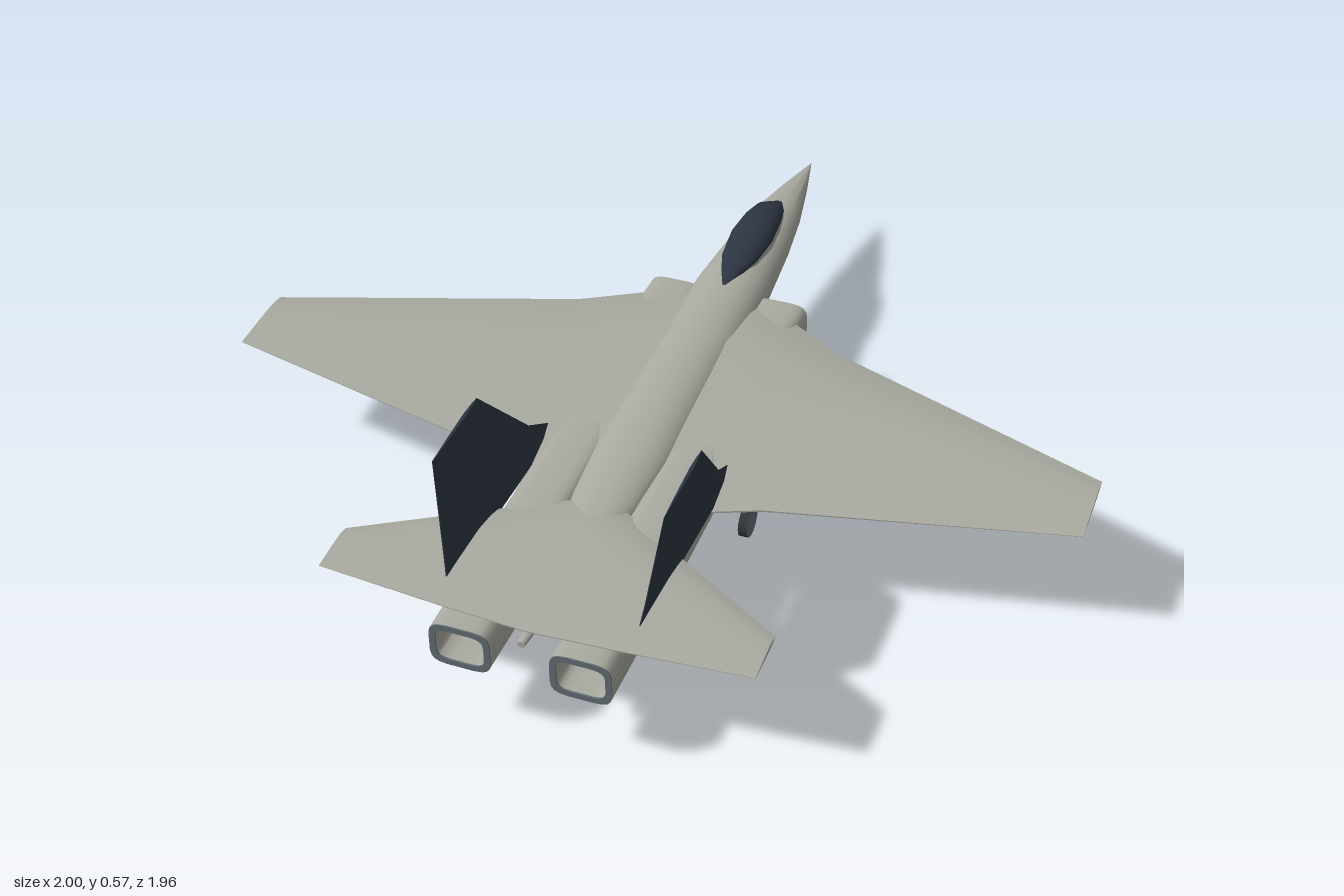
import * as THREE from 'three';
import { toCreasedNormals } from 'three/addons/utils/BufferGeometryUtils.js';

const mat = (name, color, extra = {}) => {
  const m = new THREE.MeshStandardMaterial({ color, ...extra });
  m.name = name;
  return m;
};

// Skin a list of equal-length closed rings; winding is fixed by signed volume.
function loft(rings, { caps = true, crease = 0.6 } = {}) {
  const tris = [];
  const n = rings[0].length;
  for (let i = 0; i < rings.length - 1; i++) {
    for (let j = 0; j < n; j++) {
      const k = (j + 1) % n;
      const [a, b, c, d] = [rings[i][j], rings[i][k], rings[i + 1][k], rings[i + 1][j]];
      tris.push([a, b, c], [a, c, d]);
    }
  }
  if (caps) {
    const fan = (ring, flip) => {
      const mid = ring.reduce((s, p) => s.add(p), new THREE.Vector3()).divideScalar(n);
      ring.forEach((p, j) => {
        const q = ring[(j + 1) % n];
        tris.push(flip ? [mid, q, p] : [mid, p, q]);
      });
    };
    fan(rings[0], true);
    fan(rings[rings.length - 1], false);
  }
  const cross = new THREE.Vector3();
  const volume = tris.reduce((s, [a, b, c]) => s + a.dot(cross.crossVectors(b, c)), 0);
  const pts = tris.flatMap(([a, b, c]) => (volume < 0 ? [a, c, b] : [a, b, c]));
  return toCreasedNormals(new THREE.BufferGeometry().setFromPoints(pts), crease);
}

// Superellipse ring in the xy plane; power 2 is an ellipse, higher is boxier.
function ring(z, cx, cy, rx, ry, power = 2, n = 20) {
  return Array.from({ length: n }, (_, i) => {
    const t = ((i + 0.5) / n) * Math.PI * 2;
    const f = (v) => Math.sign(v) * Math.abs(v) ** (2 / power);
    return new THREE.Vector3(cx + rx * f(Math.cos(t)), cy + ry * f(Math.sin(t)), z);
  });
}

// Airfoil outline as [chord fraction, half-thickness fraction]
const foil = [[0, 0], [0.1, 0.6], [0.27, 1], [0.6, 0.7], [1, 0.08], [1, -0.08], [0.6, -0.7], [0.27, -1], [0.1, -0.6]];

export function createModel() {
  const hull = mat('hull grey', 0xa9aaa0);
  const inner = mat('duct grey', 0xa9aaa0, { side: THREE.DoubleSide });
  const dark = mat('dark blue', 0x2d3542, { side: THREE.DoubleSide });
  const metal = mat('gunmetal', 0x626d74);
  const rubber = mat('tyre', 0x30363b);

  const model = new THREE.Group();
  const add = (name, geometry, material) => {
    const mesh = new THREE.Mesh(geometry, material);
    mesh.name = name;
    model.add(mesh);
    return mesh;
  };

  // Fuselage stations: z, half width, bottom, top
  const body = [
    [-0.98, 0.001, 0.259, 0.261], [-0.85, 0.03, 0.245, 0.287], [-0.7, 0.058, 0.229, 0.315],
    [-0.55, 0.076, 0.221, 0.33], [-0.33, 0.092, 0.214, 0.344], [-0.1, 0.094, 0.21, 0.343],
    [0.15, 0.093, 0.212, 0.34], [0.35, 0.092, 0.22, 0.332], [0.5, 0.08, 0.235, 0.323],
    [0.65, 0.055, 0.25, 0.312], [0.85, 0.02, 0.272, 0.3], [0.97, 0.008, 0.28, 0.296],
  ];
  add('fuselage', loft(body.map(([z, w, b, t]) => ring(z, 0, (b + t) / 2, w, (t - b) / 2, 2.2, 24)), { crease: 0.8 }), hull);

  // Canopy stations: z, half width, sill base, sill top, glass top
  const cockpit = [
    [-0.7, 0.008, 0.305, 0.313, 0.317], [-0.63, 0.035, 0.3, 0.338, 0.357], [-0.57, 0.046, 0.3, 0.344, 0.371],
    [-0.48, 0.053, 0.3, 0.346, 0.376], [-0.39, 0.044, 0.3, 0.344, 0.366], [-0.27, 0.006, 0.3, 0.336, 0.344],
  ];
  add('cockpitSill', loft(cockpit.map(([z, w, b, s]) =>
    [[w, b], [w, s], [-w, s], [-w, b]].map(([x, y]) => new THREE.Vector3(x, y, z)))), hull);
  add('canopyGlass', loft(cockpit.map(([z, w, , s, t]) =>
    Array.from({ length: 9 }, (_, i) => {
      const a = (i / 8) * Math.PI;
      return new THREE.Vector3(Math.cos(a) * (w + 0.001), s + Math.sin(a) * (t - s), z);
    }))), dark);

  // Lifting surface stations: x, leading z, trailing z, y, half thickness
  const surface = (stations, side) => loft(stations.map(([x, z0, z1, y, h]) =>
    foil.map(([c, t]) => new THREE.Vector3(side * x, y + t * h, z0 + c * (z1 - z0)))));
  const wing = [[0.03, -0.34, 0.53, 0.292, 0.031], [0.2, -0.24, 0.475, 0.292, 0.028],
    [0.33, -0.16, 0.425, 0.295, 0.023], [1, 0.1, 0.29, 0.312, 0.006]];
  const tail = [[0, 0.5, 0.945, 0.302, 0.018], [0.2, 0.62, 0.935, 0.304, 0.014], [0.48, 0.79, 0.915, 0.306, 0.006]];

  // Fin stations: y, leading z, trailing z, x, half thickness
  const fin = [[0.295, 0.3, 0.862, 0.212, 0.017], [0.36, 0.4, 0.847, 0.222, 0.014], [0.572, 0.59, 0.81, 0.25, 0.004]];

  // Engine duct stations: z, bottom, top
  const duct = [[-0.31, 0.182, 0.301], [-0.2, 0.177, 0.306], [0.65, 0.175, 0.309], [0.98, 0.19, 0.298]];

  for (const side of [1, -1]) {
    const label = side > 0 ? 'left' : 'right';
    add(label + 'Wing', surface(wing, side), hull);
    add(label + 'Tailplane', surface(tail, side), hull);
    add(label + 'Fin', loft(fin.map(([y, z0, z1, x, h]) =>
      foil.map(([c, t]) => new THREE.Vector3(side * (x + t * h), y, z0 + c * (z1 - z0))))), dark);

    // Hollow engine duct with a dark fan face and a metal nozzle rim
    const section = ([z, b, t], inset = 0) =>
      ring(z, side * 0.133, (b + t) / 2, 0.068 - inset, (t - b) / 2 - inset, 4.5, 20);
    const front = duct[0], rear = duct[3];
    add(label + 'EngineDuct', loft([section(front, 0.01), ...duct.map((s) => section(s)),
      section(rear, 0.014), section(front, 0.01)], { caps: false }), inner);
    add(label + 'IntakeFace', loft([section([-0.298, 0.182, 0.301], 0.009), section([-0.292, 0.182, 0.301], 0.009)]), dark);
    const rimStart = [0.979, ...rear.slice(1)], rimEnd = [0.983, ...rear.slice(1)];
    add(label + 'NozzleRim', loft([section(rimStart, 0.014), section(rimStart), section(rimEnd),
      section(rimEnd, 0.014), section(rimStart, 0.014)], { caps: false }), metal);
  }

  // Landing gear: strut from top to axle, plus wheel
  const gear = (name, x, top, axle, radius, width) => {
    const group = new THREE.Group();
    group.name = name;
    const from = new THREE.Vector3(x, ...top), to = new THREE.Vector3(x, ...axle);
    const dir = from.clone().sub(to);
    const strut = new THREE.Mesh(new THREE.CylinderGeometry(0.012, 0.007, dir.length(), 10), metal);
    strut.name = 'strut';
    strut.position.copy(from).add(to).multiplyScalar(0.5);
    strut.quaternion.setFromUnitVectors(new THREE.Vector3(0, 1, 0), dir.normalize());
    const wheel = new THREE.Mesh(new THREE.CylinderGeometry(radius, radius, width, 18), [rubber, metal, metal]);
    wheel.name = 'wheel';
    wheel.rotation.z = Math.PI / 2;
    wheel.position.copy(to);
    group.add(strut, wheel);
    model.add(group);
  };
  gear('noseGear', 0, [0.235, -0.58], [0.027, -0.567], 0.027, 0.03);
  gear('leftMainGear', 0.222, [0.285, 0.168], [0.039, 0.188], 0.039, 0.022);
  gear('rightMainGear', -0.222, [0.285, 0.168], [0.039, 0.188], 0.039, 0.022);

  return model;
}
